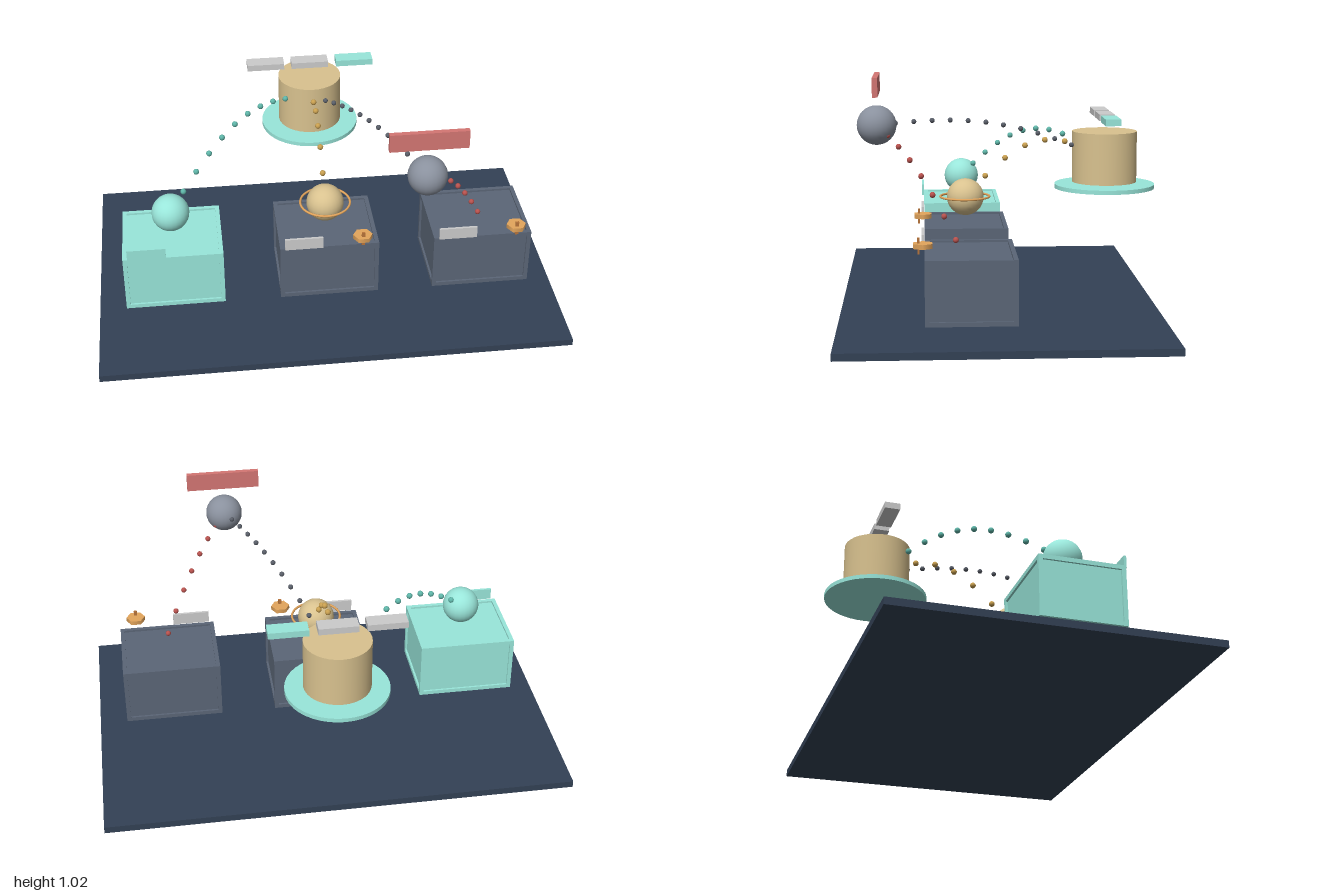
import * as THREE from 'three';

const mat = (color) => new THREE.MeshStandardMaterial({ color });
const TEAL = mat(0x99e6da), SLATE = mat(0x5b6677), NAVY = mat(0x334155), GOLD = mat(0xd9c28f);
const LIGHT = mat(0xd6d8da), GREY = mat(0x8a919e), RED = mat(0xd47673), ORANGE = mat(0xe3a55c);
const RUST = mat(0xb8743a), DARK = mat(0x5a5f69), CRIMSON = mat(0xb8524e), TEAL_DARK = mat(0x5fb5a8), AMBER = mat(0xc9a050);

const BOX_Z = 0.15;
const BALL_Y = 0.456;

function add(parent, name, geometry, material, x = 0, y = 0, z = 0) {
  const mesh = new THREE.Mesh(geometry, material);
  mesh.name = name;
  mesh.position.set(x, y, z);
  parent.add(mesh);
  return mesh;
}

const box = (w, h, d) => new THREE.BoxGeometry(w, h, d);
const ball = (r) => new THREE.SphereGeometry(r, 24, 16);

// Panelled crate with square bars centred along its twelve edges
function crate(parent, name, material, x) {
  const group = new THREE.Group();
  group.name = name;
  group.position.set(x, 0.223, BOX_Z);
  const size = [0.408, 0.24, 0.34], bar = 0.018;
  add(group, 'cratePanels', box(...size), material);
  for (let axis = 0; axis < 3; axis++) {
    const u = (axis + 1) % 3, v = (axis + 2) % 3;
    for (const su of [-1, 1]) for (const sv of [-1, 1]) {
      const dims = [bar, bar, bar], pos = [0, 0, 0];
      dims[axis] = size[axis] + bar;
      pos[u] = (su * size[u]) / 2;
      pos[v] = (sv * size[v]) / 2;
      add(group, 'crateEdge', box(...dims), material, ...pos);
    }
  }
  parent.add(group);
}

// Beads along a straight line lifted by a sine arc
function trail(parent, name, material, from, to, steps, first, last, lift, radius) {
  const group = new THREE.Group();
  group.name = name;
  const a = new THREE.Vector3(...from), b = new THREE.Vector3(...to);
  const bead = new THREE.SphereGeometry(radius, 10, 8);
  for (let i = first; i <= last; i++) {
    const t = i / steps;
    const p = a.clone().lerp(b, t);
    add(group, 'bead', bead, material, p.x, p.y + lift * Math.sin(Math.PI * t), p.z);
  }
  parent.add(group);
}

export function createModel() {
  const model = new THREE.Group();
  model.name = 'diorama';

  // Floor slab
  add(model, 'floor', box(2, 0.03, 1.33), NAVY, 0, 0.015, 0.015);

  // Three crates, each with a label plate; the last two carry a hexagonal badge
  [-0.667, 0, 0.665].forEach((x, i) => {
    crate(model, 'crate', i === 0 ? TEAL : SLATE, x);
    add(model, 'labelPlate', box(0.163, 0.052, 0.011), i === 0 ? TEAL : LIGHT, x - 0.111, 0.38, 0.335);
    if (i > 0) {
      const hex = new THREE.CylinderGeometry(0.042, 0.042, 0.019, 6);
      hex.rotateY(Math.PI / 6);
      add(model, 'hexBadge', hex, ORANGE, x + 0.14, 0.398, 0.335);
      add(model, 'badgePin', box(0.014, 0.063, 0.008), RUST, x + 0.14, 0.397, 0.352);
    }
  });

  // Central drum floating over its disc
  add(model, 'drum', new THREE.CylinderGeometry(0.142, 0.142, 0.223, 32), GOLD, 0, 0.632, -0.464);
  add(model, 'drumDisc', new THREE.CylinderGeometry(0.22, 0.22, 0.018, 40), TEAL, 0, 0.502, -0.465);

  // Row of tabs above the drum
  [-0.2, 0, 0.203].forEach((x, i) =>
    add(model, 'tab', box(0.166, 0.028, 0.066), i === 2 ? TEAL : LIGHT, x, 0.809, -0.465));

  // Balls, ring and sign
  add(model, 'tealBall', ball(0.081), TEAL, -0.667, BALL_Y, 0.148);
  add(model, 'goldBall', ball(0.081), GOLD, 0, BALL_Y, 0.148);
  const ring = new THREE.TorusGeometry(0.108, 0.005, 8, 40);
  ring.rotateX(Math.PI / 2);
  add(model, 'ballRing', ring, ORANGE, 0, 0.458, 0.15);
  add(model, 'greyBall', ball(0.081), GREY, 0.368, 0.815, 0.52);
  add(model, 'sign', box(0.32, 0.078, 0.022), RED, 0.368, 0.98, 0.521);

  // Bead trails
  const hub = [0, 0.623, -0.464], high = [0.368, 0.815, 0.52];
  trail(model, 'tealTrail', TEAL_DARK, [-0.667, BALL_Y, 0.148], hub, 11, 1, 10, 0.177, 0.013);
  trail(model, 'goldTrail', AMBER, [0, BALL_Y, 0.148], hub, 7, 1, 6, 0.158, 0.013);
  trail(model, 'greyTrail', DARK, hub, high, 13, 1, 12, 0.08, 0.011);
  trail(model, 'redTrail', CRIMSON, high, [0.707, 0.3, 0.16], 8, 1, 7, 0.07, 0.012);

  return model;
}
